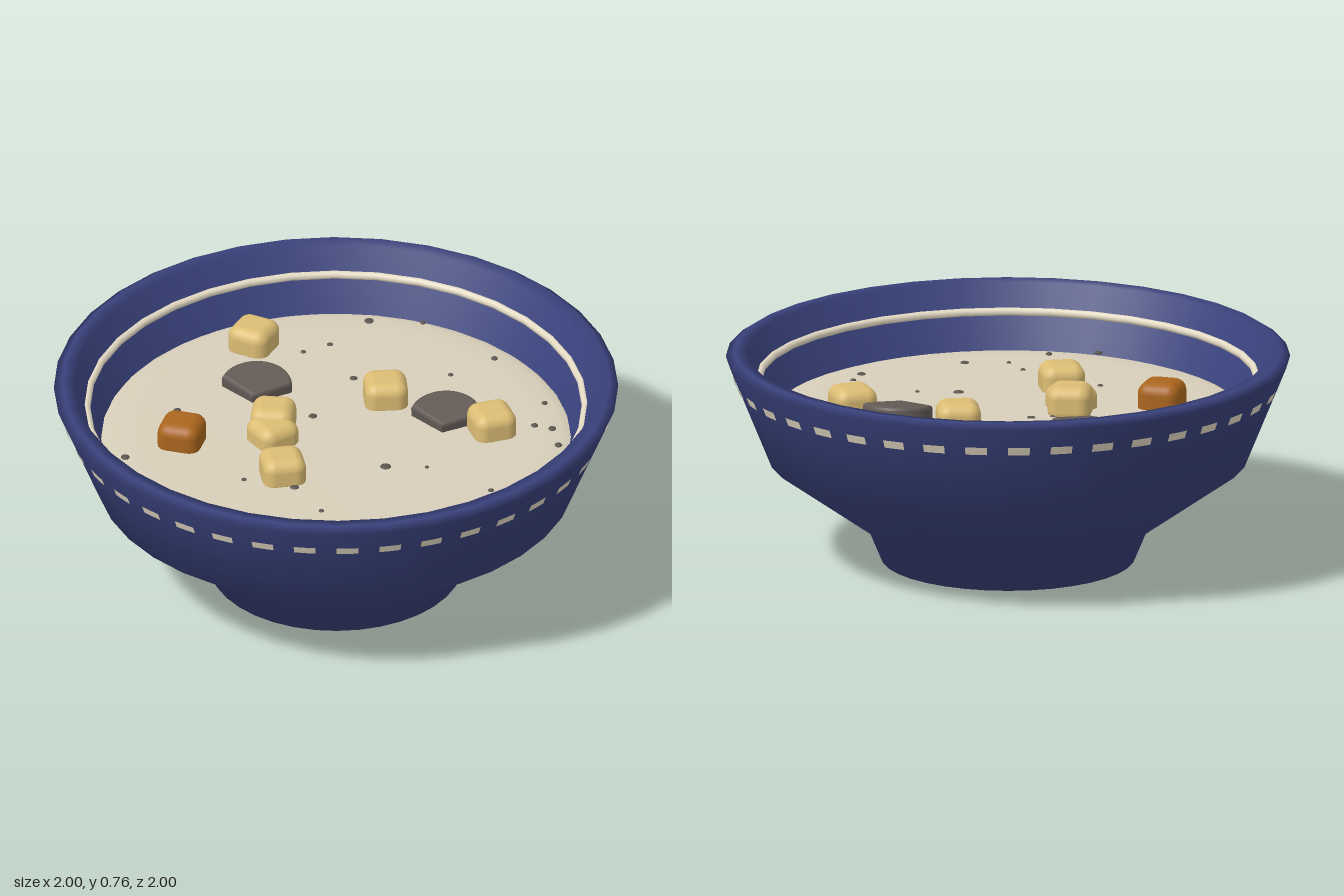
import * as THREE from 'three';
import { RoundedBoxGeometry } from 'three/addons/geometries/RoundedBoxGeometry.js';

const material = (name, color, side = THREE.FrontSide) => {
  const m = new THREE.MeshStandardMaterial({ color, side });
  m.name = name;
  return m;
};

export function createModel() {
  const group = new THREE.Group();
  const blue = material('blueGlaze', 0x39427c);
  const cream = material('creamGlaze', 0xe6dcc6, THREE.DoubleSide);
  const broth = material('creamBroth', 0xd8cfba);
  const potato = material('potatoYellow', 0xdcbd74);
  const carrot = material('carrotOrange', 0xab661e);
  const clam = material('shellGrey', 0x625a55);
  const pepper = material('pepperGrey', 0x5a554d);

  const add = (name, geometry, mat, x = 0, y = 0, z = 0) => {
    const mesh = new THREE.Mesh(geometry, mat);
    mesh.name = name;
    mesh.position.set(x, y, z);
    group.add(mesh);
    return mesh;
  };
  const lathe = (points, segments) =>
    new THREE.LatheGeometry(points.map(([x, y]) => new THREE.Vector2(x, y)), segments);

  // Bowl: foot, flared wall, lip and inner wall in one smooth profile
  add('bowl', lathe([
    [0.25, 0], [0.45, 0], [0.5, 0.12], [0.85, 0.37], [1, 0.74], [0.97, 0.76],
    [0.925, 0.755], [0.83, 0.52], [0.72, 0.37], [0.4, 0.15], [0, 0.13],
  ], 36), blue);
  add('footDisc', new THREE.CircleGeometry(0.25, 36).rotateX(Math.PI / 2), cream);

  // Cream line around the inside
  add('innerBand', new THREE.TorusGeometry(0.885, 0.015, 8, 36).rotateX(Math.PI / 2), cream, 0, 0.657, 0);

  // Dashed line around the outside
  const dashes = 40;
  for (let i = 0; i < dashes; i++) {
    const angle = 0.052 + (i / dashes) * Math.PI * 2;
    const plate = new THREE.CylinderGeometry(0.975, 0.963, 0.03, 3, 1, true, angle - 0.04, 0.08);
    add('outerDash', plate, cream, 0, 0.655, 0);
  }

  // Soup surface, softly rounded at the edge
  add('soup', lathe([[0.835, 0.525], [0.8, 0.538], [0.7, 0.543], [0, 0.545]], 48), broth);

  // Diced vegetables: x, y, z, turn
  const cube = new RoundedBoxGeometry(0.155, 0.13, 0.155, 4, 0.042);
  const dice = [
    [-0.385, 0.572, -0.535, -0.3], [0.135, 0.572, -0.255, 0.25], [0.54, 0.572, -0.115, 0.5],
    [-0.225, 0.582, 0, 0.05], [-0.215, 0.558, 0.075, 0.75], [-0.14, 0.572, 0.31, 0.35],
  ];
  for (const [x, y, z, turn] of dice) add('potatoCube', cube, potato, x, y, z).rotation.y = turn;
  add('carrotCube', cube, carrot, -0.53, 0.572, 0.14).rotation.y = -0.12;

  // Fan-shaped pieces, point towards the front
  const fan = new THREE.Shape();
  fan.moveTo(0, 0);
  fan.lineTo(0.112, 0.08);
  fan.absarc(0, 0.06, 0.115, 0.2, Math.PI - 0.2, false);
  fan.closePath();
  const fanGeometry = new THREE.ExtrudeGeometry(fan, {
    depth: 0.035, bevelEnabled: true, bevelSize: 0.012, bevelThickness: 0.012, bevelSegments: 2, curveSegments: 12,
  }).rotateX(-Math.PI / 2);
  for (const [x, z] of [[-0.325, -0.17], [0.37, -0.085]]) {
    add('shellPiece', fanGeometry, clam, x, 0.533, z).rotation.x = 0.13;
  }

  // Pepper flecks: x, z, radius
  const flecks = [
    [-0.01, -0.765, 0.017], [0.18, -0.785, 0.01], [-0.12, -0.585, 0.011], [-0.205, -0.52, 0.01],
    [0.47, -0.59, 0.012], [0, -0.375, 0.014], [0.335, -0.455, 0.01], [0.51, -0.295, 0.015],
    [0.695, -0.325, 0.011], [0.685, -0.17, 0.013], [0.75, -0.16, 0.014], [0.79, -0.055, 0.014],
    [-0.185, -0.14, 0.016], [-0.1, -0.1, 0.016], [-0.175, -0.07, 0.012], [-0.58, -0.06, 0.014],
    [-0.71, 0.28, 0.016], [-0.27, 0.36, 0.01], [-0.085, 0.38, 0.016], [0.21, 0.19, 0.02],
    [0.355, 0.17, 0.008], [0.605, 0.285, 0.011], [0.59, 0.37, 0.016], [0.035, 0.52, 0.01],
    [0.255, 0.58, 0.016], [0.1, 0.605, 0.008], [-0.02, 0.745, 0.012], [-0.19, 0.79, 0.016],
  ];
  const fleck = new THREE.IcosahedronGeometry(1, 1);
  for (const [x, z, r] of flecks) add('pepperFleck', fleck, pepper, x, 0.544, z).scale.set(r, 0.006, r);

  return group;
}
